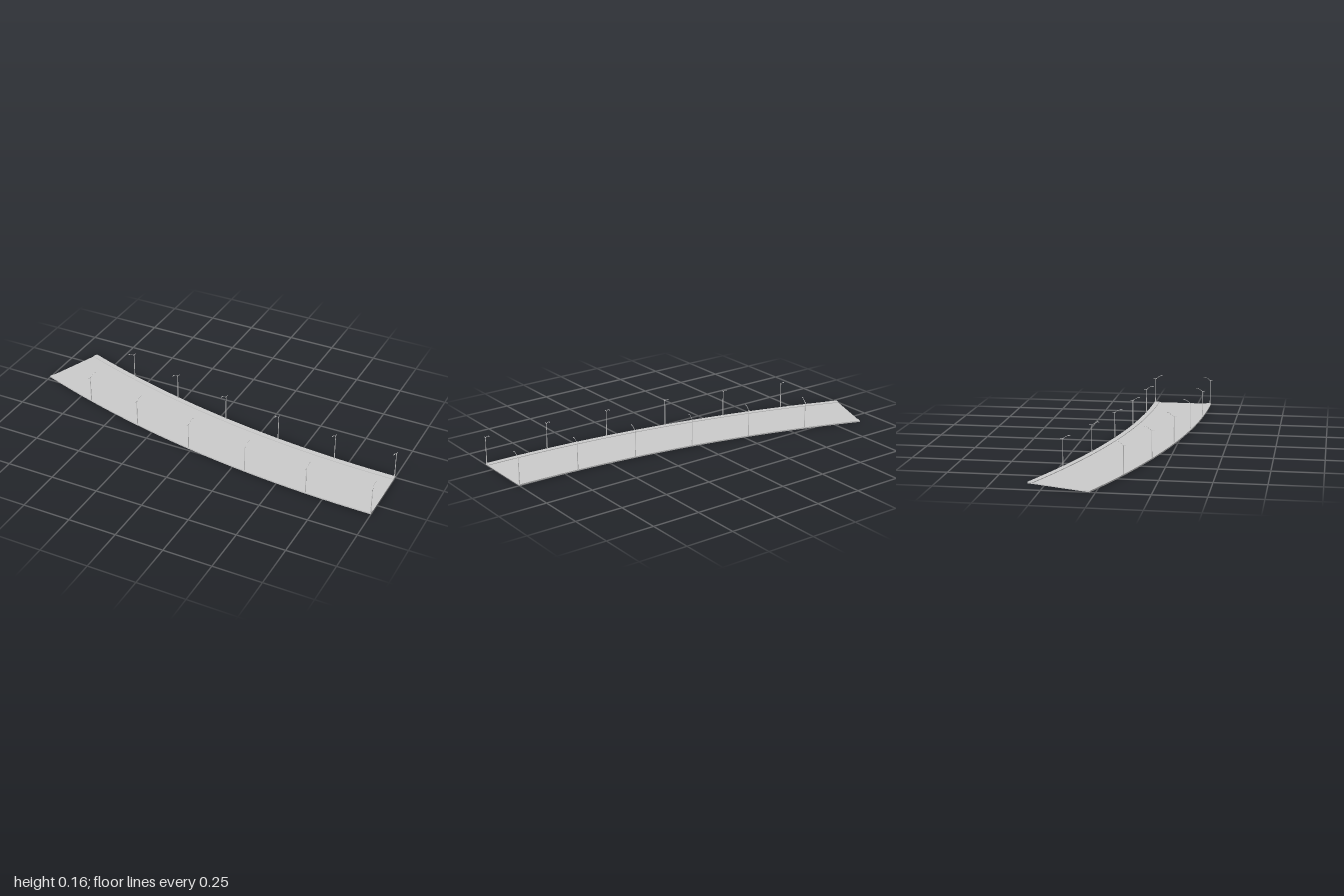
import * as THREE from 'three';

const material = new THREE.MeshStandardMaterial({ color: 0xcccccc });
const CENTRE_X = 1, CENTRE_Z = -5.521;      // centre of the bend
const OUTER = 5.848, INNER = 5.519;         // edge radii
const SWEEP = THREE.MathUtils.degToRad(20);
const WALK = 0.027, WALK_TOP = 0.007, ROAD_TOP = 0.004;

function mesh(name, geometry) {
  const m = new THREE.Mesh(geometry, material);
  m.name = name;
  return m;
}

// Curved slab between two radii, resting on the ground
function arcSlab(name, r0, r1, height) {
  const start = Math.PI / 2, end = start + SWEEP;
  const shape = new THREE.Shape();
  shape.absarc(CENTRE_X, CENTRE_Z, r1, start, end, false);
  shape.absarc(CENTRE_X, CENTRE_Z, r0, end, start, true);
  const g = new THREE.ExtrudeGeometry(shape, { depth: height, bevelEnabled: false, curveSegments: 36 });
  g.rotateX(Math.PI / 2).translate(0, height, 0);
  return mesh(name, g);
}

// Street lamp reaching along its local +z
function streetLamp() {
  const lamp = new THREE.Group();
  lamp.name = 'streetLamp';

  const base = mesh('poleBase', new THREE.CylinderGeometry(0.0024, 0.0028, 0.03, 8));
  base.position.y = WALK_TOP + 0.015;
  const pole = mesh('pole', new THREE.CylinderGeometry(0.0014, 0.0022, 0.112, 8));
  pole.position.y = 0.089;

  // Short cross bracket, longer on the outside
  const bracket = mesh('bracket', new THREE.BoxGeometry(0.0022, 0.0022, 0.019));
  bracket.position.set(0, 0.1435, -0.0035);

  // Sloping arm that levels out at the head
  const path = new THREE.CatmullRomCurve3([
    new THREE.Vector3(0, 0.143, 0),
    new THREE.Vector3(0, 0.152, 0.014),
    new THREE.Vector3(0, 0.1595, 0.026),
    new THREE.Vector3(0, 0.161, 0.032),
  ]);
  const arm = mesh('arm', new THREE.TubeGeometry(path, 12, 0.0011, 6, false));

  const head = mesh('lampHead', new THREE.SphereGeometry(1, 12, 8));
  head.scale.set(0.0024, 0.0015, 0.0075);
  head.position.set(0, 0.161, 0.0345);

  lamp.add(base, pole, bracket, arm, head);
  return lamp;
}

export function createModel() {
  const model = new THREE.Group();
  model.name = 'curvedRoad';
  model.add(
    arcSlab('roadway', INNER + WALK, OUTER - WALK, ROAD_TOP),
    arcSlab('innerWalkway', INNER, INNER + WALK, WALK_TOP),
    arcSlab('outerWalkway', OUTER - WALK, OUTER, WALK_TOP),
  );

  // Six lamps along each edge, facing the road
  for (let i = 0; i < 6; i++) {
    const t = (i * SWEEP) / 6 + 0.0005;
    for (const [radius, turn] of [[INNER + 0.005, 0], [OUTER - 0.005, Math.PI]]) {
      const lamp = streetLamp();
      lamp.position.set(CENTRE_X - radius * Math.sin(t), 0, CENTRE_Z + radius * Math.cos(t));
      lamp.rotation.y = turn - t;
      model.add(lamp);
    }
  }
  return model;
}
